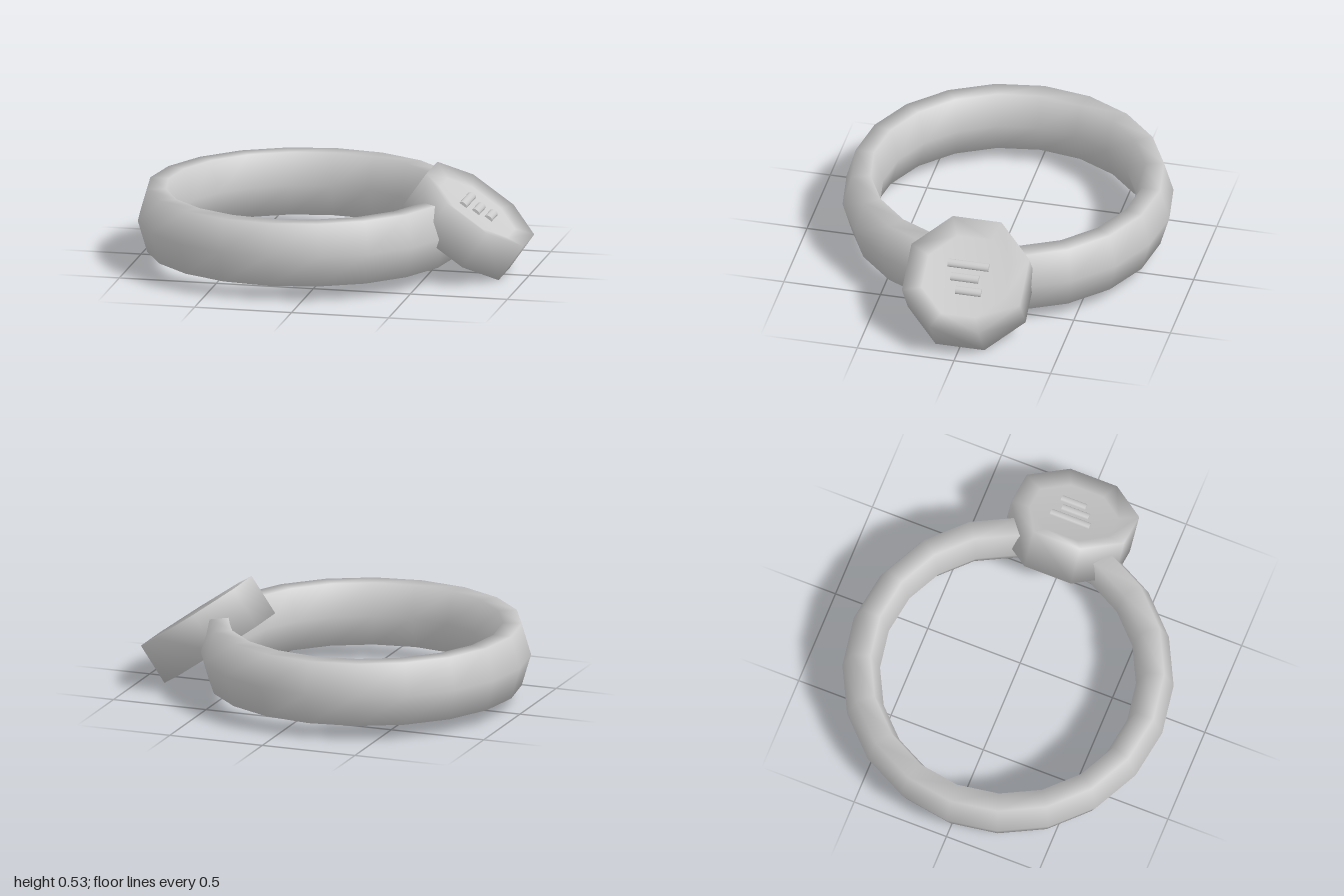
import * as THREE from 'three';

export function createModel() {
  const model = new THREE.Group();
  const metal = new THREE.MeshStandardMaterial({ color: 0xcccccc });
  metal.name = 'grey metal';

  const add = (parent, name, geometry) => {
    const mesh = new THREE.Mesh(geometry, metal);
    mesh.name = name;
    parent.add(mesh);
    return mesh;
  };

  // Band: a six-sided tube stretched in height, lying flat
  const bandGeometry = new THREE.TorusGeometry(0.74, 0.095, 6, 20);
  bandGeometry.rotateX(-Math.PI / 2).scale(1, 1.97, 1);
  add(model, 'band', bandGeometry).position.set(-0.165, 0.243, 0);

  // Signet: a tilted octagonal head on the +x side
  const signet = new THREE.Group();
  signet.name = 'signet';
  signet.position.set(0.685, 0.27, 0);
  signet.rotation.z = THREE.MathUtils.degToRad(-35);
  model.add(signet);

  // Head with a shallow dished face
  const profile = [[0, -0.111], [0.33, -0.111], [0.33, 0.111], [0.23, 0.086], [0, 0.086]]
    .map(([r, y]) => new THREE.Vector2(r, y));
  add(signet, 'signetHead', new THREE.LatheGeometry(profile, 8, Math.PI / 8));

  // Three raised rounded bars: offset across the face, z centre, length
  for (const [x, z, length] of [[-0.063, 0, 0.212], [0.008, 0.005, 0.145], [0.077, -0.027, 0.133]]) {
    const bar = new THREE.CylinderGeometry(0.022, 0.022, length, 12);
    bar.rotateX(Math.PI / 2).scale(1, 0.7, 1);
    add(signet, 'faceBar', bar).position.set(x, 0.086, z);
  }

  return model;
}
